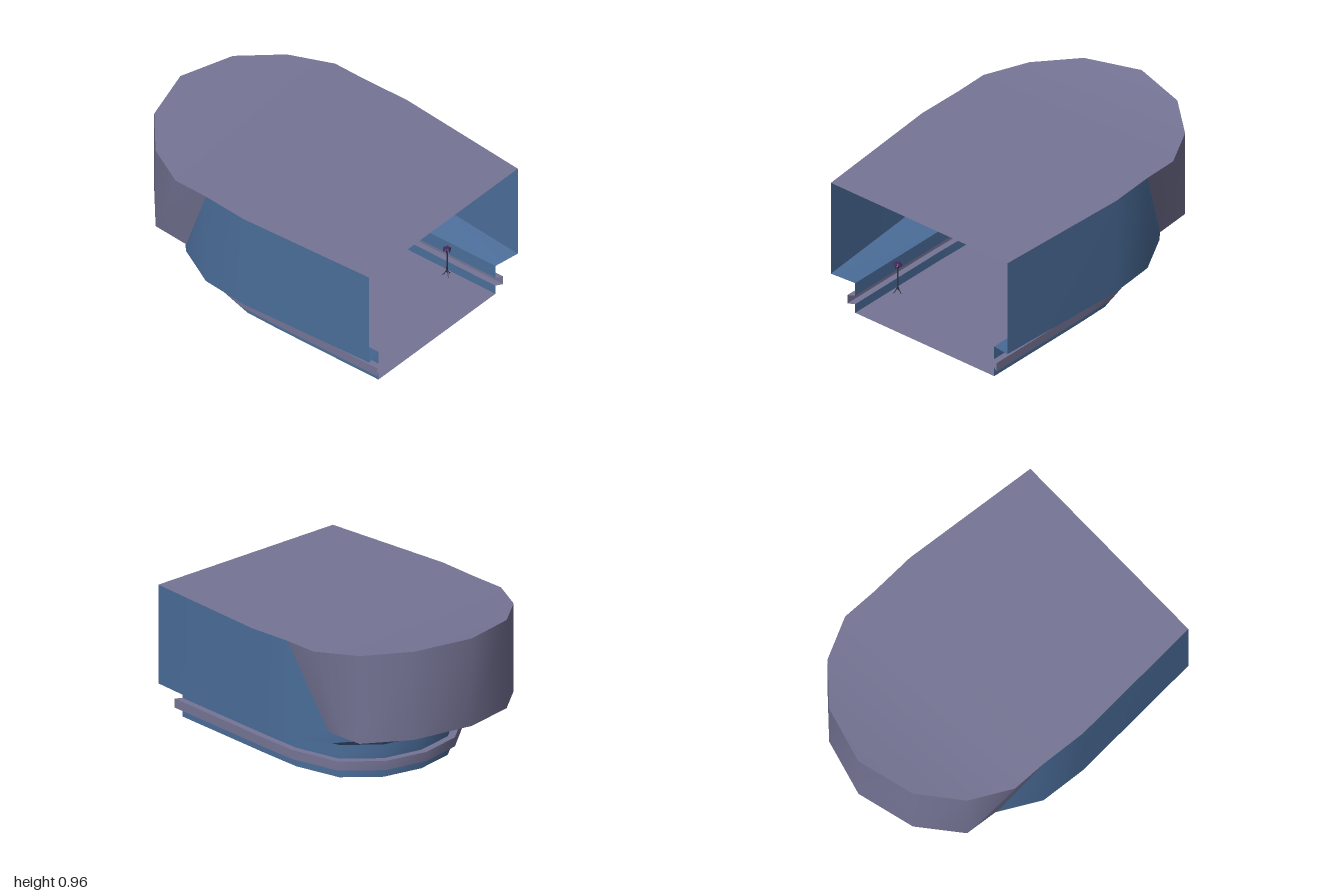
import * as THREE from 'three';

const mat = (name, color) => {
  const m = new THREE.MeshStandardMaterial({ color, side: THREE.DoubleSide });
  m.name = name;
  return m;
};

// Half outlines run from the nose centre to the open +x end: [x, y, z]
const NOSE_TOP = [[-1, 0.965, 0], [-0.9, 0.95, 0.36], [-0.69, 0.922, 0.6], [-0.43, 0.905, 0.73], [-0.2, 0.9, 0.73]];
const NOSE_LOW = [[-1, 0.41, 0], [-0.9, 0.39, 0.36], [-0.69, 0.365, 0.6], [-0.565, 0.365, 0.61], [-0.44, 0.365, 0.62]];
const SIDE_END = [[0.1, 0.89, 0.745], [1, 0.862, 0.68]];
const HULL_TOP = [[-0.75, 0.405, 0], [-0.67, 0.385, 0.36], [-0.44, 0.365, 0.62], [-0.2, 0.9, 0.73], ...SIDE_END];
const HULL_LOW = [[-0.75, 0.34, 0], [-0.67, 0.322, 0.36], [-0.46, 0.297, 0.6], [-0.2, 0.278, 0.73], [0.1, 0.262, 0.745], [1, 0.235, 0.68]];
const BASE = [[-0.555, 0], [-0.505, 0.25], [-0.34, 0.45], [-0.05, 0.53], [0.2, 0.535], [0.95, 0.535]];
const BAND = [[-0.6, 0], [-0.545, 0.27], [-0.365, 0.485], [-0.06, 0.57], [0.2, 0.575], [0.975, 0.575]];

const at = (plan, y) => plan.map(([x, z]) => [x, y, z]);
const flip = ([x, y, z]) => [x, y, -z];
const whole = half => [...half.slice(1).reverse().map(flip), ...half];

// Surface strip between two paths with the same number of points
function strip(a, b) {
  const n = a.length, index = [];
  for (let i = 0; i < n - 1; i++) index.push(i, i + 1, n + i, i + 1, n + i + 1, n + i);
  const g = new THREE.BufferGeometry();
  g.setAttribute('position', new THREE.Float32BufferAttribute([...a, ...b].flat(), 3));
  g.setIndex(index);
  g.computeVertexNormals();
  return g;
}
const wall = (upper, lower) => strip(whole(upper), whole(lower));
const plate = half => strip(half, half.map(flip));

// Truss panel: a unit square with two triangular openings, fitted from a to b
function trussPanel(a, b, height, rising) {
  const s = new THREE.Shape();
  s.moveTo(0.01, 0); s.lineTo(0.99, 0); s.lineTo(0.99, 1); s.lineTo(0.01, 1); s.closePath();
  const tri = pts => new THREE.Path(pts.map(([u, v]) => new THREE.Vector2(rising ? u : 1 - u, v)));
  s.holes.push(tri([[0.12, 0.36], [0.12, 0.8], [0.74, 0.8]]), tri([[0.26, 0.2], [0.88, 0.66], [0.88, 0.2]]));
  const g = new THREE.ExtrudeGeometry(s, { depth: 0.01, bevelEnabled: false });
  const p = g.attributes.position;
  const len = Math.hypot(b[0] - a[0], b[2] - a[2]);
  const nx = (b[2] - a[2]) / len, nz = (a[0] - b[0]) / len;
  for (let i = 0; i < p.count; i++) {
    const u = p.getX(i), v = p.getY(i), w = p.getZ(i);
    p.setXYZ(i, a[0] + (b[0] - a[0]) * u + nx * w, a[1] + (b[1] - a[1]) * u + v * height, a[2] + (b[2] - a[2]) * u + nz * w);
  }
  g.computeVertexNormals();
  return g;
}

export function createModel() {
  const model = new THREE.Group();
  model.name = 'observationDeck';
  const blue = mat('hullBlue', 0x4a6c98);
  const grey = mat('panelGrey', 0x757495);
  const violet = mat('trimViolet', 0x5f4888);
  const dark = mat('lampStem', 0x34364a);
  const plum = mat('lampHead', 0x43265a);

  const add = (name, geometry, material, parent = model) => {
    const m = new THREE.Mesh(geometry, material);
    m.name = name;
    parent.add(m);
    return m;
  };

  // Upper shell, open at the +x end
  add('roof', plate([...NOSE_TOP, ...SIDE_END]), grey);
  add('noseWall', wall(NOSE_TOP, NOSE_LOW), grey);
  add('hullWall', wall(HULL_TOP, HULL_LOW), blue);
  add('hullUnderside', wall(HULL_LOW, at(BASE, 0.205)), blue);

  // Base with a hollow band around it
  add('baseUpperWall', wall(at(BASE, 0.205), at(BASE, 0.118)), blue);
  add('bandTop', wall(at(BASE, 0.118), at(BAND, 0.118)), grey);
  add('bandFace', wall(at(BAND, 0.118), at(BAND, 0.06)), grey);
  add('bandBottom', wall(at(BAND, 0.06), at(BASE, 0.06)), grey);
  add('baseLowerWall', wall(at(BASE, 0.06), at(BASE, 0)), blue);
  add('floor', plate(at(BASE, 0)), grey);

  // Truss railing on the balcony edge
  const railing = new THREE.Group();
  railing.name = 'railing';
  model.add(railing);
  const rail = [[-0.75, 0.408, 0], [-0.67, 0.386, 0.36], [-0.455, 0.362, 0.6]];
  for (const side of [1, -1]) {
    for (let i = 0; i < 2; i++) {
      const [a, b] = [rail[i], rail[i + 1]].map(([x, y, z]) => [x, y, z * side]);
      add('railingPanel', trussPanel(a, b, 0.118, i === 1), violet, railing);
    }
  }

  // Console on the floor near the nose
  const console_ = new THREE.Group();
  console_.name = 'console';
  console_.position.set(-0.36, 0, 0);
  model.add(console_);
  [[0.002, 0.07, 0.16, 0.33], [0.07, 0.082, 0.14, 0.31], [0.082, 0.108, 0.16, 0.33], [0.108, 0.122, 0.12, 0.28]].forEach(([y0, y1, w, d]) => {
    add('consoleTier', new THREE.BoxGeometry(w, y1 - y0, d), violet, console_).position.y = (y0 + y1) / 2;
  });

  // Standing lamps with splayed feet and a petal head
  const stem = new THREE.CylinderGeometry(0.004, 0.005, 0.17, 6);
  const foot = new THREE.TubeGeometry(new THREE.QuadraticBezierCurve3(
    new THREE.Vector3(0, 0.05, 0), new THREE.Vector3(0.008, 0.02, 0), new THREE.Vector3(0.027, 0.003, 0)), 4, 0.003, 5);
  const petal = new THREE.ConeGeometry(0.009, 0.028, 4);
  function lamp(x, y, z) {
    const g = new THREE.Group();
    g.name = 'lamp';
    g.position.set(x, y, z);
    add('lampStem', stem, dark, g).position.y = 0.11;
    add('lampCap', new THREE.CylinderGeometry(0.014, 0.024, 0.012, 8), plum, g).position.y = 0.197;
    for (let i = 0; i < 3; i++) add('lampFoot', foot, dark, g).rotation.y = i * Math.PI * 2 / 3 + Math.PI / 2;
    for (let i = 0; i < 6; i++) {
      const a = i * Math.PI / 3;
      const p = add('lampPetal', petal, plum, g);
      p.position.set(Math.cos(a) * 0.019, 0.187, Math.sin(a) * 0.019);
      p.rotation.set(Math.PI, 0, 0);
    }
    model.add(g);
  }
  for (const side of [1, -1]) {
    lamp(0.62, 0, 0.49 * side);
    lamp(-0.3, 0, 0.34 * side);
  }
  lamp(-0.73, 0.405, 0);

  return model;
}
